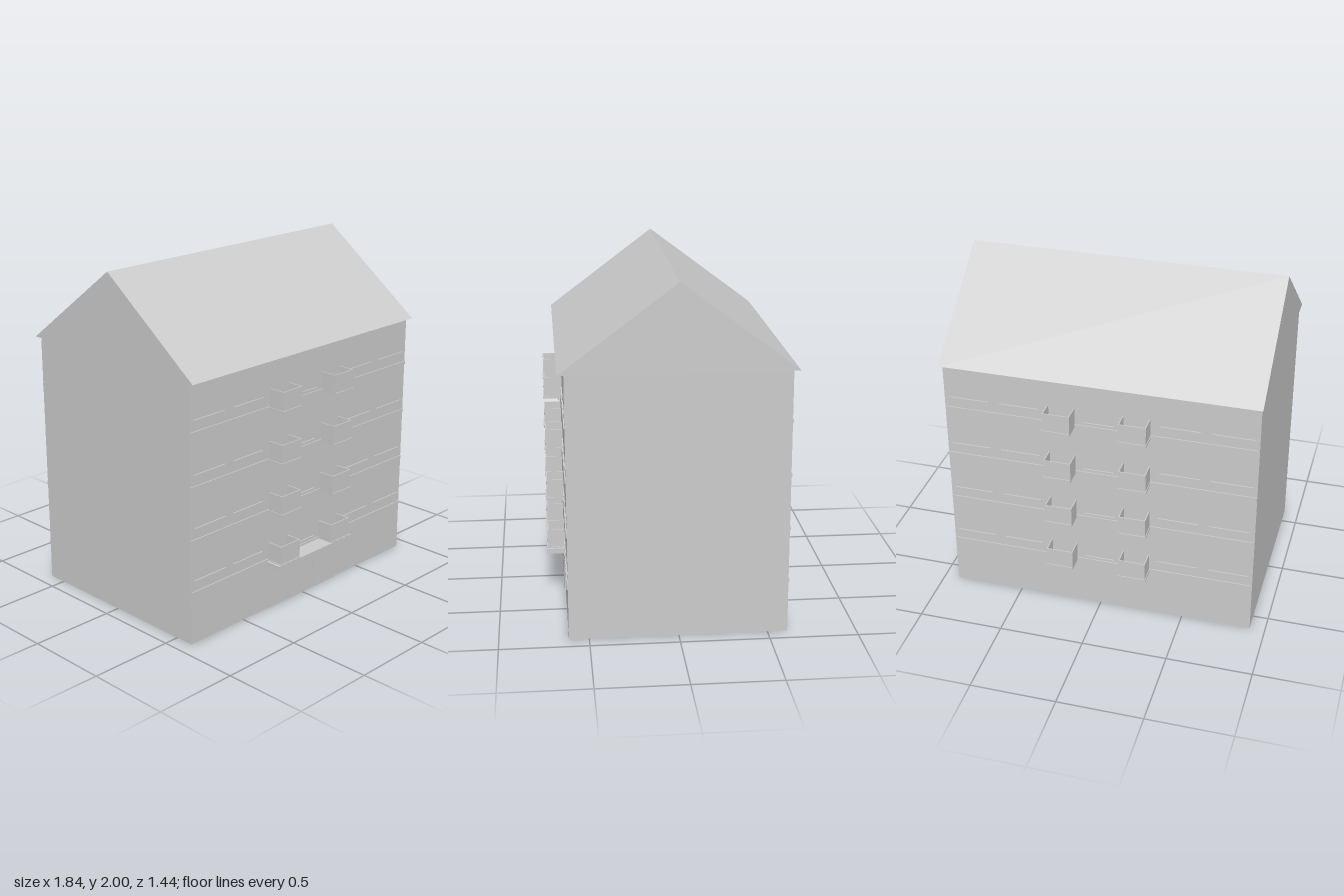
import * as THREE from 'three';

const mat = new THREE.MeshStandardMaterial({ color: 0xcccccc, flatShading: true });
const shellMat = new THREE.MeshStandardMaterial({ color: 0xcccccc, flatShading: true, side: THREE.DoubleSide });

// Box given by its min and max corners
function box(parent, name, x0, x1, y0, y1, z0, z1) {
  const m = new THREE.Mesh(new THREE.BoxGeometry(x1 - x0, y1 - y0, z1 - z0), mat);
  m.position.set((x0 + x1) / 2, (y0 + y1) / 2, (z0 + z1) / 2);
  m.name = name;
  parent.add(m);
}

const WALL = 0.613, EAVES = 1.512, FIRST = 0.295, PITCH = 0.308, FLOORS = 4;

// Single wall panel, visible from inside through the open base
function wallPanel(parent, name, width, x, z, turn) {
  const m = new THREE.Mesh(new THREE.PlaneGeometry(width, EAVES), shellMat);
  m.position.set(x, EAVES / 2, z);
  m.rotation.y = turn;
  m.name = name;
  parent.add(m);
}

// Open-topped balcony: thin parapets on a slab that juts out at the front and outer side
function balcony(side) {
  const g = new THREE.Group();
  g.name = 'balcony';
  const inner = side * 0.139, outer = side * 0.297, t = 0.006, top = 0.122, out = 0.714;
  const span = (a, b) => [Math.min(a, b), Math.max(a, b)];
  box(g, 'balconySlab', ...span(inner, outer + side * 0.004), 0, 0.014, WALL, out + 0.005);
  box(g, 'balconyFront', ...span(inner, outer), 0.014, top, out - t, out);
  box(g, 'balconyInnerSide', ...span(inner, inner + side * t), 0.014, top, WALL, out - t);
  box(g, 'balconyOuterSide', ...span(outer - side * t, outer), 0.014, top, WALL, out - t);
  return g;
}

// One storey of facade detail, measured from its floor level
function storey() {
  const g = new THREE.Group();
  g.name = 'storey';
  box(g, 'floorBand', -0.908, 0.908, 0, 0.02, WALL, WALL + 0.006);
  box(g, 'stairWindowSill', -0.09, 0.09, 0.036, 0.041, WALL, WALL + 0.007);
  for (const s of [-1, 1]) {
    g.add(balcony(s));
    for (const c of [0.467, 0.765])
      box(g, 'windowSill', s * c - 0.118, s * c + 0.118, 0.08, 0.085, WALL, WALL + 0.007);
  }
  return g;
}

export function createModel() {
  const model = new THREE.Group();
  model.name = 'apartmentBlock';

  // Four walls, open underneath
  const walls = new THREE.Group();
  walls.name = 'walls';
  wallPanel(walls, 'frontWall', 1.82, 0, WALL, 0);
  wallPanel(walls, 'backWall', 1.82, 0, -WALL, Math.PI);
  wallPanel(walls, 'leftWall', 2 * WALL, 0.91, 0, Math.PI / 2);
  wallPanel(walls, 'rightWall', 2 * WALL, -0.91, 0, -Math.PI / 2);
  model.add(walls);

  // Gabled roof
  const gable = new THREE.Shape([
    new THREE.Vector2(-0.65, EAVES), new THREE.Vector2(0.65, EAVES), new THREE.Vector2(0, 2)]);
  const geo = new THREE.ExtrudeGeometry(gable, { depth: 1.84, bevelEnabled: false });
  geo.translate(0, 0, -0.92).rotateY(Math.PI / 2);
  const roof = new THREE.Mesh(geo, mat);
  roof.name = 'roof';
  model.add(roof);

  // Matching front and back facades
  for (const back of [false, true]) {
    const facade = new THREE.Group();
    facade.name = back ? 'backFacade' : 'frontFacade';
    for (let i = 0; i < FLOORS; i++) {
      const s = storey();
      s.position.y = FIRST + i * PITCH;
      facade.add(s);
    }
    if (back) facade.rotation.y = Math.PI;
    model.add(facade);
  }

  // Entrance: canopy and three shallow door panels
  const entrance = new THREE.Group();
  entrance.name = 'entrance';
  box(entrance, 'canopy', -0.315, 0.315, 0.273, 0.303, WALL, 0.72);
  for (const [a, b] of [[-0.29, -0.15], [-0.14, 0.08], [0.09, 0.295]])
    box(entrance, 'doorPanel', a, b, 0, 0.26, WALL, WALL + 0.006);
  model.add(entrance);
  return model;
}
